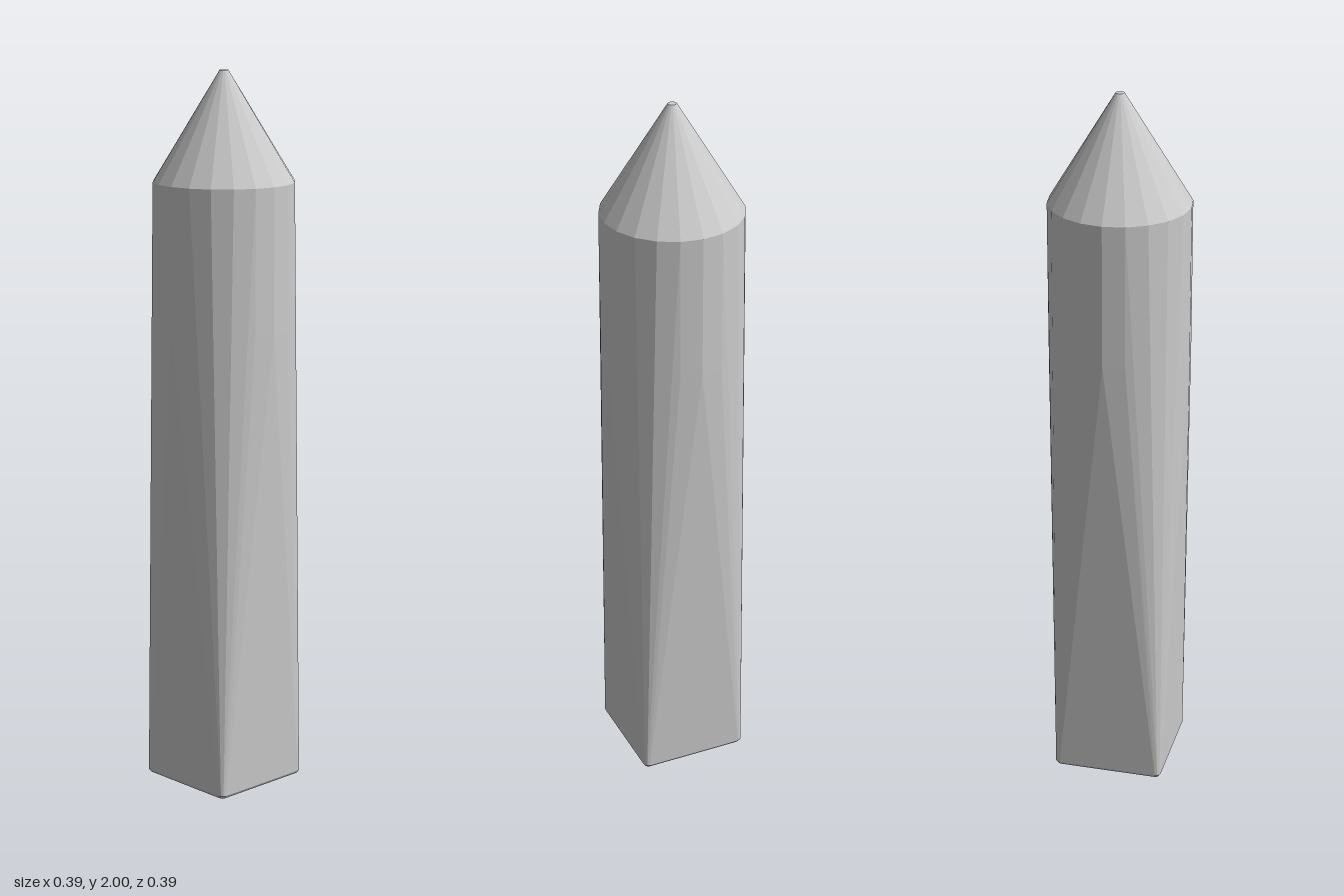
import * as THREE from 'three';
import { ConvexGeometry } from 'three/addons/geometries/ConvexGeometry.js';

// Points of a horizontal regular polygon
function ring(radius, y, sides = 20) {
  return Array.from({ length: sides }, (_, i) => {
    const a = (i / sides) * Math.PI * 2;
    return new THREE.Vector3(Math.cos(a) * radius, y, Math.sin(a) * radius);
  });
}

// Points of a horizontal square with slightly rounded corners
function roundedSquare(half, corner, y) {
  const points = [];
  for (const sx of [-1, 1]) for (const sz of [-1, 1]) {
    for (let i = 0; i <= 3; i++) {
      const a = (i / 3) * Math.PI / 2;
      points.push(new THREE.Vector3(
        sx * (half - corner + corner * Math.cos(a)), y,
        sz * (half - corner + corner * Math.sin(a))));
    }
  }
  return points;
}

export function createModel() {
  const group = new THREE.Group();
  group.name = 'taperedPost';
  const material = new THREE.MeshStandardMaterial({ color: 0xcccccc, flatShading: true });

  // Shaft: square foot blending into a round upper section
  const shaft = new THREE.Mesh(new ConvexGeometry([
    ...roundedSquare(0.152, 0.012, 0),
    ...roundedSquare(0.157, 0.014, 0.008),
    ...ring(0.195, 1.3),
    ...ring(0.195, 1.7),
  ]), material);
  shaft.name = 'shaft';

  // Pointed tip with a tiny flat end
  const tip = new THREE.Mesh(new THREE.CylinderGeometry(0.012, 0.195, 0.3, 20), material);
  tip.position.y = 1.85;
  tip.name = 'tip';

  group.add(shaft, tip);
  return group;
}
